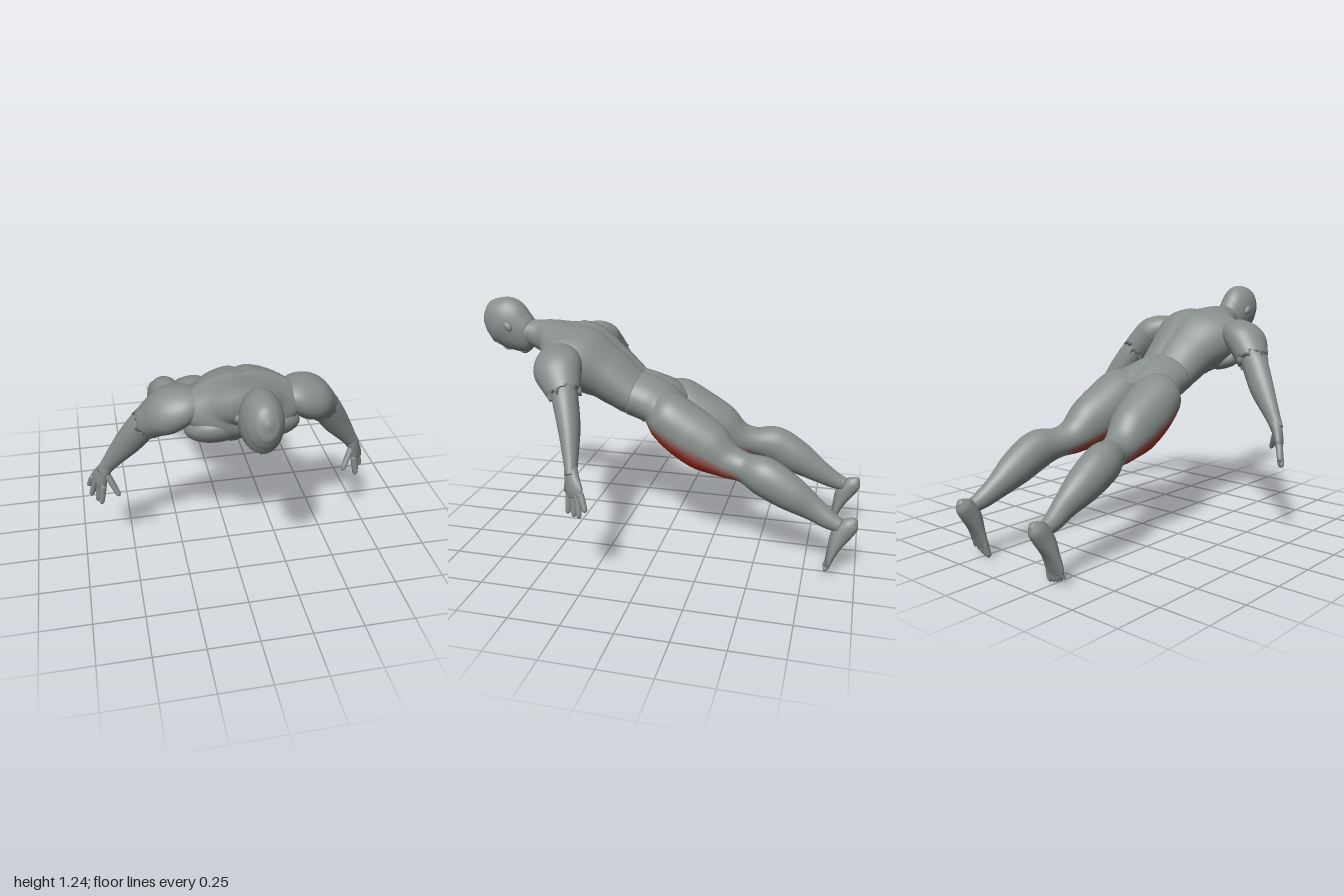
import * as THREE from 'three';

const paint = (name, color) => {
  const m = new THREE.MeshStandardMaterial({ color });
  m.name = name;
  return m;
};
const skin = paint('grey skin', 0x868e8c);
// From full red through three fading steps to skin
const thighPaint = [
  paint('red muscle', 0xb03428), paint('fade one', 0xa64a40), paint('fade two', 0x9c635b),
  paint('fade three', 0x907c78), skin,
];

const V = (x, y, z) => new THREE.Vector3(x, y, z);
const bell = (x, w) => Math.exp(-((x / w) ** 2));

// Smooth tube through sections [x, y, z, halfWidth, halfDepth].
// shape(c, s, u) scales the ring; hem makes the last ring ragged.
function loft(sections, { seg = 32, steps = 6, ref = V(1, 0, 0), shape = () => 1, hem = 0 } = {}) {
  const path = new THREE.CatmullRomCurve3(sections.map((p) => V(p[0], p[1], p[2])));
  const size = new THREE.CatmullRomCurve3(sections.map((p, i) => V(p[3], p[4], i * 0.05)));
  const rings = (sections.length - 1) * steps;
  const pos = [], index = [];
  for (let i = 0; i <= rings; i++) {
    const u = i / rings;
    const C = path.getPoint(u), R = size.getPoint(u), T = path.getTangent(u);
    const S = ref.clone().addScaledVector(T, -ref.dot(T)).normalize();
    const N = T.clone().cross(S);
    for (let j = 0; j < seg; j++) {
      const a = (j / seg) * Math.PI * 2, c = Math.cos(a), s = Math.sin(a), k = shape(c, s, u);
      const p = C.clone().addScaledVector(S, c * R.x * k).addScaledVector(N, s * R.y * k);
      if (i === rings) p.addScaledVector(T, hem * (Math.sin(j * 2.3) + Math.sin(j * 1.1)));
      pos.push(p.x, p.y, p.z);
    }
  }
  for (let i = 0; i < rings; i++) {
    for (let j = 0; j < seg; j++) {
      const a = i * seg + j, b = i * seg + ((j + 1) % seg);
      index.push(a, b, a + seg, b, b + seg, a + seg);
    }
  }
  // End caps
  const first = path.getPoint(0), last = path.getPoint(1), n = pos.length / 3;
  pos.push(first.x, first.y, first.z, last.x, last.y, last.z);
  for (let j = 0; j < seg; j++) {
    const k = (j + 1) % seg, e = rings * seg;
    index.push(n, k, j, n + 1, e + j, e + k);
  }
  const g = new THREE.BufferGeometry();
  g.setAttribute('position', new THREE.Float32BufferAttribute(pos, 3));
  g.setIndex(index);
  g.computeVertexNormals();
  return g;
}

// Sort faces into the five thigh paints by their distance outside the red area
function paintThigh(g) {
  const p = g.attributes.position, idx = g.index.array, sets = [[], [], [], [], []];
  for (let i = 0; i < idx.length; i += 3) {
    const f = [idx[i], idx[i + 1], idx[i + 2]];
    const y = (p.getY(f[0]) + p.getY(f[1]) + p.getY(f[2])) / 3;
    const z = (p.getZ(f[0]) + p.getZ(f[1]) + p.getZ(f[2])) / 3;
    const fade = Math.max((y - 0.612 - 0.48 * z) / 0.055, (-0.365 - z) / 0.06, (z - 0.05) / 0.02);
    sets[THREE.MathUtils.clamp(Math.ceil(fade * 3), 0, 4)].push(...f);
  }
  g.setIndex(sets.flat());
  let start = 0;
  sets.forEach((s, m) => { g.addGroup(start, s.length, m); start += s.length; });
  return g;
}

export function createModel() {
  const model = new THREE.Group();
  model.name = 'athlete';
  const add = (name, geometry, material = skin) => {
    const m = new THREE.Mesh(geometry, material);
    m.name = name;
    model.add(m);
    return m;
  };
  const ball = (name, x, y, z, sx, sy, sz, tilt = 0) => {
    const m = add(name, new THREE.SphereGeometry(1, 24, 16));
    m.position.set(x, y, z);
    m.scale.set(sx, sy, sz);
    m.rotation.x = tilt;
  };

  // Neck and torso, with a spine groove, centre line and abdominal ridges
  add('torso', loft([
    [0, 1.07, 0.77, 0.066, 0.06], [0, 1.055, 0.69, 0.08, 0.078], [0, 1.04, 0.62, 0.16, 0.095],
    [0, 1.0, 0.55, 0.27, 0.145], [0, 0.95, 0.45, 0.25, 0.174], [0, 0.88, 0.32, 0.198, 0.145],
    [0, 0.785, 0.18, 0.172, 0.118], [0, 0.745, 0.09, 0.16, 0.1],
  ], {
    seg: 64, steps: 10,
    shape: (c, s, u) => {
      const body = THREE.MathUtils.smoothstep(u, 0.3, 0.45);
      const abs = s > 0 ? THREE.MathUtils.smoothstep(u, 0.64, 0.72) * 0.025 * Math.sin(u * 75) * bell(c, 0.55) : 0;
      return 1 - body * 0.07 * bell(c, 0.1) + abs;
    },
  }));

  // Head
  add('head', loft([
    [0, 1.162, 0.996, 0.008, 0.01], [0, 1.158, 0.982, 0.045, 0.062], [0, 1.145, 0.945, 0.074, 0.1],
    [0, 1.118, 0.885, 0.091, 0.132], [0, 1.07, 0.815, 0.083, 0.115], [0, 1.04, 0.758, 0.066, 0.09],
    [0, 1.035, 0.73, 0.045, 0.055],
  ], { seg: 40 }));
  ball('nose', 0, 0.982, 0.885, 0.014, 0.03, 0.02, 1.15);
  ball('brow', 0, 1.012, 0.915, 0.055, 0.02, 0.014, 1.1);
  ball('lips', 0, 0.972, 0.828, 0.026, 0.014, 0.011, 1.2);
  ball('chin', 0, 0.968, 0.788, 0.034, 0.026, 0.018, 1.2);

  // Pelvis
  add('pelvis', paintThigh(loft([
    [0, 0.783, 0.17, 0.176, 0.121], [0, 0.76, 0.09, 0.19, 0.121], [0, 0.732, 0.01, 0.228, 0.11],
    [0, 0.7, -0.05, 0.225, 0.085], [0, 0.685, -0.08, 0.12, 0.04],
  ], { seg: 96, steps: 14, shape: (c) => 1 - 0.06 * bell(c, 0.1) })), thighPaint);

  for (const s of [1, -1]) {
    const side = s > 0 ? 'left' : 'right';
    const mir = (list) => list.map(([x, ...rest]) => [s * x, ...rest]);
    const armRef = V(s, 0.7, 0);

    ball(side + 'Ear', s * 0.088, 1.105, 0.835, 0.014, 0.028, 0.018, 0.8);
    ball(side + 'Pectoral', s * 0.125, 0.885, 0.53, 0.14, 0.125, 0.072, Math.PI / 3);

    // Leg from hip to ankle
    add(side + 'Leg', paintThigh(loft(mir([
      [0.11, 0.75, 0.06, 0.07, 0.08], [0.125, 0.71, -0.02, 0.128, 0.124], [0.135, 0.635, -0.125, 0.134, 0.138],
      [0.15, 0.565, -0.24, 0.117, 0.132], [0.168, 0.51, -0.345, 0.088, 0.09],
      [0.186, 0.49, -0.43, 0.074, 0.076], [0.22, 0.468, -0.53, 0.087, 0.098],
      [0.23, 0.402, -0.655, 0.08, 0.09], [0.234, 0.328, -0.78, 0.053, 0.062],
      [0.245, 0.282, -0.86, 0.042, 0.046], [0.25, 0.262, -0.91, 0.035, 0.036],
    ]), { seg: 64, steps: 14 })), thighPaint);

    // Foot hanging toe-down, with five toes
    add(side + 'Foot', loft(mir([
      [0.248, 0.3, -0.985, 0.014, 0.014], [0.25, 0.272, -0.963, 0.035, 0.042], [0.253, 0.215, -0.92, 0.044, 0.048],
      [0.258, 0.14, -0.89, 0.053, 0.03], [0.26, 0.08, -0.873, 0.058, 0.019], [0.26, 0.052, -0.868, 0.051, 0.013],
    ]), { seg: 24 }));
    for (let i = 0; i < 5; i++) {
      const x = 0.217 + i * 0.0215, r = i ? 0.009 : 0.014, tip = 0.001 + i * i * 0.0022;
      add(side + 'Toe', loft(mir([
        [x, 0.085, -0.872, r, r], [x, 0.045, -0.865, r, r], [x, tip + 0.012, -0.857, r * 1.1, r],
        [x, tip, -0.855, r * 0.4, r * 0.4],
      ]), { seg: 10, steps: 3 }));
    }

    // Shoulder and upper arm, ending in a ragged edge over the forearm
    add(side + 'UpperArm', loft(mir([
      [0.17, 1.025, 0.515, 0.04, 0.06], [0.25, 1.0, 0.5, 0.08, 0.108], [0.32, 0.965, 0.475, 0.097, 0.12],
      [0.372, 0.915, 0.44, 0.088, 0.1], [0.408, 0.872, 0.412, 0.08, 0.08],
    ]), { seg: 36, ref: armRef, hem: 0.018 }));
    add(side + 'Forearm', loft(mir([
      [0.375, 0.93, 0.43, 0.06, 0.06], [0.43, 0.855, 0.4, 0.07, 0.062], [0.5, 0.745, 0.36, 0.066, 0.053],
      [0.56, 0.66, 0.335, 0.05, 0.041], [0.605, 0.595, 0.318, 0.037, 0.032], [0.63, 0.555, 0.308, 0.034, 0.026],
    ]), { ref: armRef }));

    // Hand: palm fans out towards the finger tips
    const palmRef = V(0.5 * s, 0, -0.85);
    add(side + 'Palm', loft(mir([
      [0.6, 0.605, 0.321, 0.026, 0.026], [0.615, 0.58, 0.315, 0.034, 0.03], [0.635, 0.54, 0.303, 0.043, 0.027],
      [0.653, 0.495, 0.288, 0.054, 0.024], [0.662, 0.465, 0.28, 0.048, 0.017],
    ]), { seg: 20, ref: palmRef }));
    const fingers = [
      [0.634, 0.485, 0.32, 0.652, 0.372, 0.325], [0.65, 0.48, 0.296, 0.668, 0.366, 0.288],
      [0.668, 0.482, 0.27, 0.698, 0.378, 0.252], [0.678, 0.492, 0.25, 0.706, 0.415, 0.218],
      [0.615, 0.545, 0.325, 0.563, 0.437, 0.365],
    ];
    fingers.forEach(([x, y, z, X, Y, Z], i) => {
      const at = (t, r) => [x + (X - x) * t, y + (Y - y) * t, z + (Z - z) * t, r, r];
      add(side + (i < 4 ? 'Finger' : 'Thumb'), loft(
        mir([at(0, 0.017), at(0.45, 0.0155), at(0.9, 0.0125), at(1, 0.004)]),
        { seg: 10, steps: 4, ref: palmRef }));
    });
  }
  return model;
}
